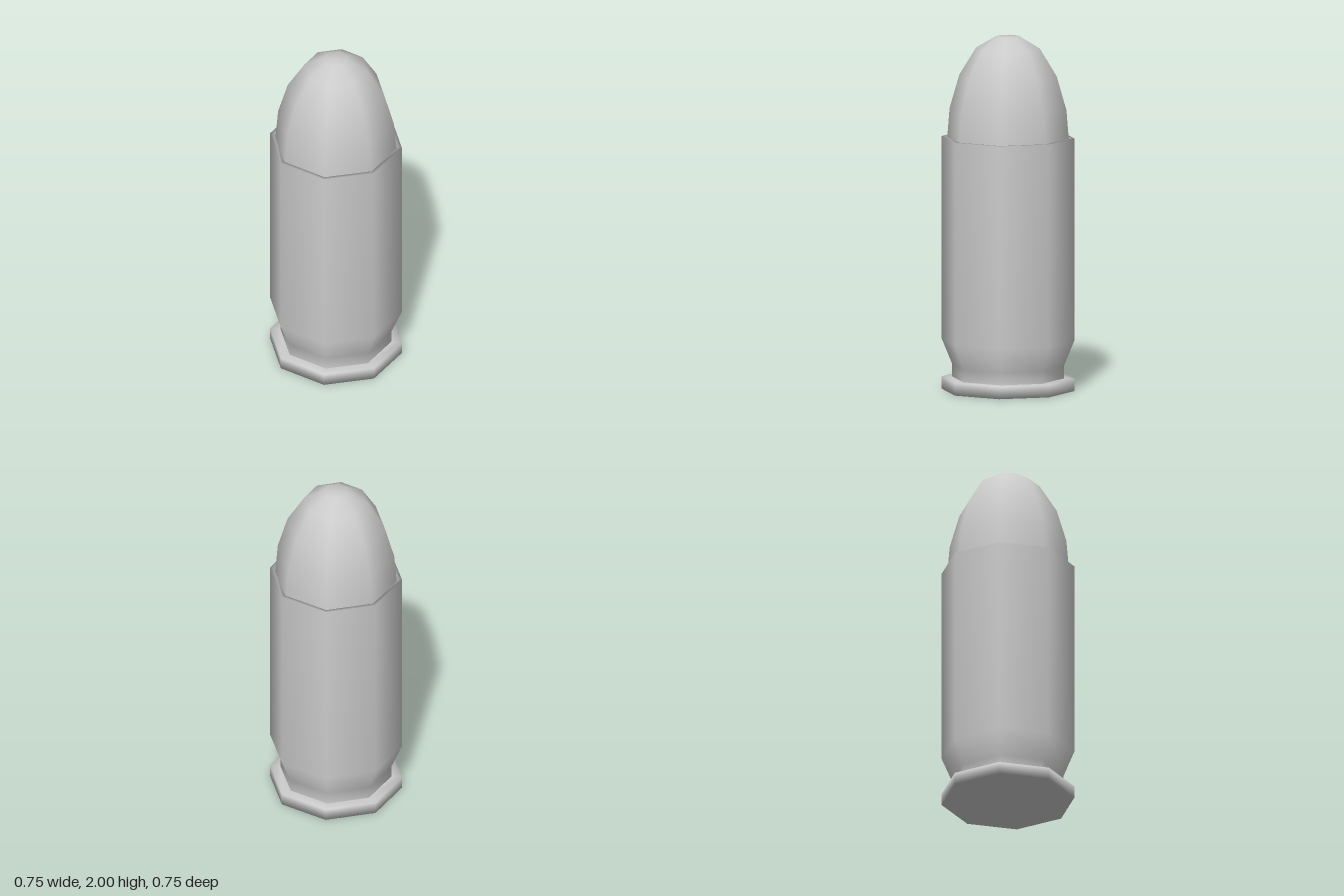
import * as THREE from 'three';

const SIDES = 8;

// Eight-sided smooth turned part; the profile is [radius, height], listed upwards along the outside
function turned(name, profile, material) {
  const points = profile.map(([r, y]) => new THREE.Vector2(r, y));
  const mesh = new THREE.Mesh(new THREE.LatheGeometry(points, SIDES), material);
  mesh.name = name;
  return mesh;
}

export function createModel() {
  const group = new THREE.Group();
  group.name = 'cartridge';
  const material = new THREE.MeshStandardMaterial({ color: 0xcccccc });

  // Base flange with its flat underside
  group.add(turned('baseFlange', [[0, 0], [0.375, 0], [0.375, 0.07], [0.315, 0.07]], material));

  // Case: extractor groove, flare, straight wall, lip and a short inner wall
  group.add(turned('case', [
    [0.315, 0.07], [0.315, 0.14], [0.375, 0.285], [0.375, 1.43], [0.353, 1.43], [0.35, 1.38],
  ], material));

  // Bullet: rounded nose with a small flat tip, seated in the case
  group.add(turned('bullet', [
    [0.35, 1.38], [0.343, 1.43], [0.33, 1.59], [0.275, 1.78], [0.18, 1.935], [0.07, 2], [0, 2],
  ], material));

  return group;
}
